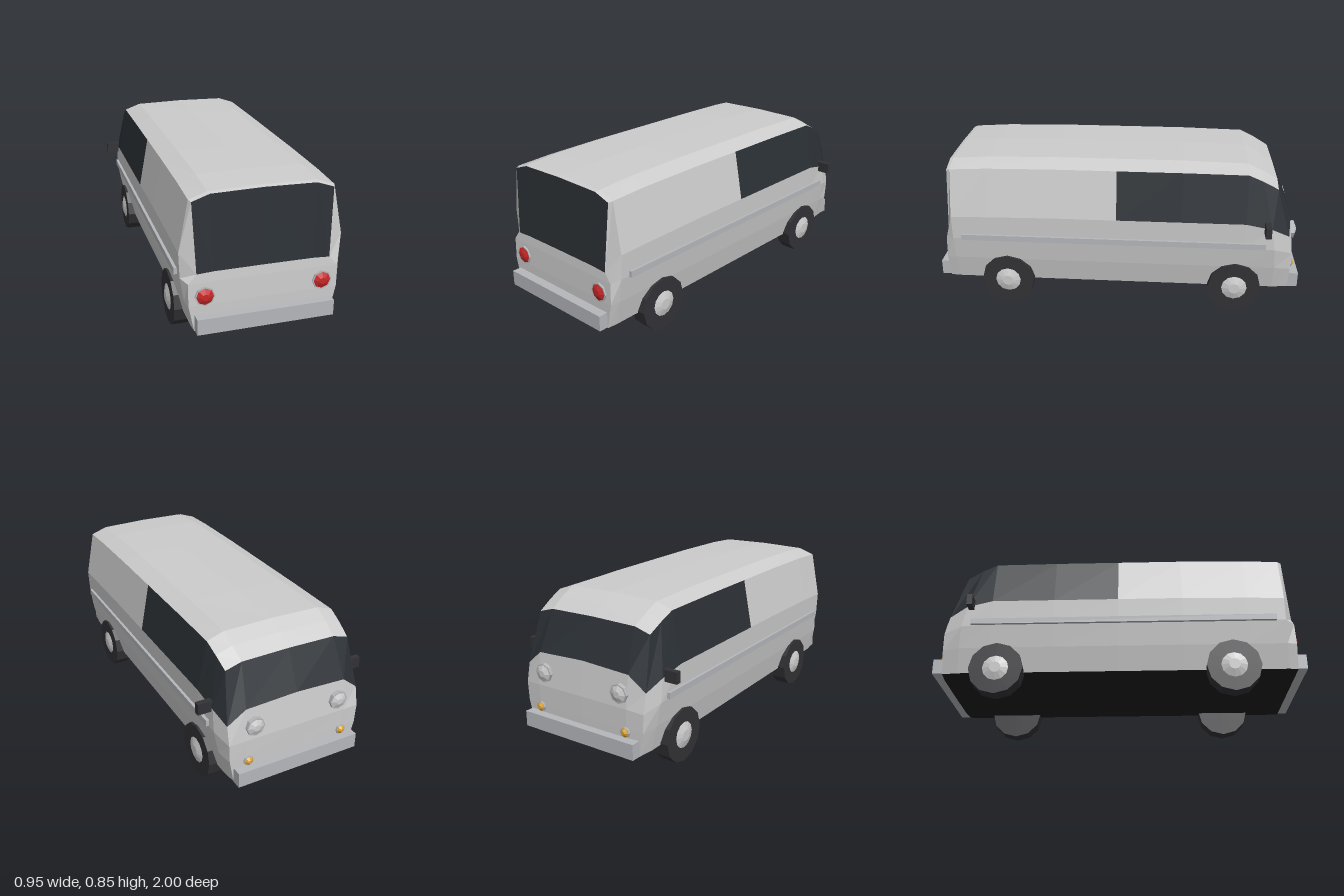
import * as THREE from 'three';

const paint = (color) => new THREE.MeshStandardMaterial({ color, flatShading: true });
const K = [0, 0.85, 1, 0.85, 0]; // crown across the width
const F = [1, 0.75, 0, -0.75, -1]; // column positions across the width

// Each station lists x, y and z at five levels: sill, lower side, crease, belt, roof edge
const X = [0.355, 0.385, 0.405, 0.41, 0.36];
const Y = [0.135, 0.27, 0.4, 0.54, 0.803];
const stations = [
  { x: [0.35, 0.377, 0.377, 0.335, 0.35], y: [0.135, 0.27, 0.385, 0.43, 0.783], z: [0.95, 0.95, 0.946, 0.942, 0.915], rise: 0.036 },
  { x: X, y: [0.135, 0.27, 0.4, 0.53, 0.788], z: [0.9, 0.9, 0.9, 0.9, 0.895], rise: 0.037 },
  { x: X, y: [0.135, 0.27, 0.4, 0.535, 0.798], z: 0.7, rise: 0.04 },
  { x: X, y: Y, z: 0.35, rise: 0.042 },
  { x: X, y: Y, z: 0, rise: 0.042 },
  { x: X, y: Y, z: -0.35, rise: 0.042 },
  { x: X, y: [0.135, 0.27, 0.4, 0.54, 0.8], z: -0.69, rise: 0.037 },
  { x: [0.355, 0.385, 0.405, 0.402, 0.355], y: [0.135, 0.27, 0.39, 0.51, 0.764], z: [-0.86, -0.86, -0.85, -0.83, -0.77], rise: 0.034 },
  { x: [0.345, 0.37, 0.375, 0.375, 0.348], y: [0.135, 0.26, 0.36, 0.46, 0.72], z: [-0.945, -0.948, -0.948, -0.925, -0.85], rise: 0.03 },
];

function levelPoint(s, l, side = 1) {
  return [s.x[l] * side, s.y[l], Array.isArray(s.z) ? s.z[l] : s.z];
}

// Closed section running up the left side, over the roof and down the right
function ring(s) {
  const pts = [0, 1, 2, 3, 4].map((l) => levelPoint(s, l));
  const [x, y, z] = levelPoint(s, 4);
  for (let c = 1; c < 4; c++) pts.push([x * F[c], y + s.rise * K[c], z]);
  for (let l = 4; l >= 0; l--) pts.push(levelPoint(s, l, -1));
  return pts;
}

// Rows of an end panel, bulged toward its middle
function endRows(s, bulgeY, bulgeZ) {
  return s.x.map((_, l) => F.map((f, c) => {
    const [x, y, z] = levelPoint(s, l);
    return [x * f, y + bulgeY[l] * K[c], z + bulgeZ[l] * K[c]];
  }));
}

function makeBody(group) {
  const faces = { bodyShell: [], windows: [], underside: [] };
  const quad = (part, a, b, c, d) => faces[part].push(...a, ...b, ...c, ...a, ...c, ...d);

  // Sides, roof and floor
  const rings = stations.map(ring);
  for (let i = 0; i < rings.length - 1; i++) {
    const p = rings[i], q = rings[i + 1], n = p.length;
    for (let j = 0; j < n; j++) {
      const k = (j + 1) % n;
      const glazed = (j === 3 || j === 8) && i >= 4;
      quad(j === n - 1 ? 'underside' : glazed ? 'windows' : 'bodyShell', p[j], q[j], q[k], p[k]);
    }
  }

  // Rear and front panels, glazed above the belt
  const rear = stations[0], front = stations[stations.length - 1];
  const ends = [
    [endRows(rear, [0, 0, 0, 0.006, rear.rise], [0, 0, 0, 0, 0]), false],
    [endRows(front, [0, 0, 0.01, 0.09, front.rise], [-0.01, -0.01, -0.012, -0.014, 0]), true],
  ];
  for (const [rows, isFront] of ends) {
    for (let l = 0; l < 4; l++) for (let c = 0; c < 4; c++) {
      const a = rows[l][c], b = rows[l + 1][c], d = rows[l + 1][c + 1], e = rows[l][c + 1];
      const part = l === 3 ? 'windows' : 'bodyShell';
      if (isFront) quad(part, a, e, d, b);
      else quad(part, a, b, d, e);
    }
    // Sliver of floor beneath the bulged sill
    for (let c = 1; c < 3 && isFront; c++) quad('underside', rows[0][c + 1], rows[0][c], levelPoint(front, 0), levelPoint(front, 0, -1));
  }

  const colors = { bodyShell: 0xdedee0, windows: 0x2b3035, underside: 0x1c1c1f };
  for (const name in faces) {
    const geo = new THREE.BufferGeometry();
    geo.setAttribute('position', new THREE.Float32BufferAttribute(faces[name], 3));
    geo.computeVertexNormals();
    const mesh = new THREE.Mesh(geo, paint(colors[name]));
    mesh.name = name;
    group.add(mesh);
  }
}

export function createModel() {
  const model = new THREE.Group();
  model.name = 'van';
  makeBody(model);

  const chrome = paint(0xb4b6ba), rubber = paint(0x323236), hubMat = paint(0xc0c0c4);
  const red = paint(0xc82828), amber = paint(0xd8a030), lens = paint(0xcccccc);

  const add = (name, geo, mat, x, y, z, parent = model) => {
    const mesh = new THREE.Mesh(geo, mat);
    mesh.name = name;
    mesh.position.set(x, y, z);
    parent.add(mesh);
    return mesh;
  };
  const box = (name, mat, w, h, d, x, y, z) => add(name, new THREE.BoxGeometry(w, h, d), mat, x, y, z);

  // Round lamp: a faceted rim with a shallow domed lens, facing dir along z
  const lamp = (name, mat, r, x, y, z, dir, sides = 8) => {
    const g = new THREE.Group();
    g.name = name;
    g.position.set(x, y, z);
    g.rotation.x = dir * Math.PI / 2;
    add('rim', new THREE.CylinderGeometry(r, r, 0.022, sides), chrome, 0, -0.011, 0, g);
    add('lens', new THREE.CylinderGeometry(r * 0.35, r * 0.87, 0.012, sides), mat, 0, 0.006, 0, g);
    model.add(g);
  };

  // Bumpers
  box('rearBumper', chrome, 0.695, 0.082, 0.06, 0, 0.179, 0.97);
  box('frontBumper', chrome, 0.695, 0.082, 0.06, 0, 0.179, -0.97);

  for (const side of [1, -1]) {
    const label = side > 0 ? 'left' : 'right';
    // Side trim and mirror
    box(label + 'SideTrim', chrome, 0.025, 0.032, 1.65, side * 0.4085, 0.413, 0.025);
    box(label + 'Mirror', rubber, 0.085, 0.06, 0.03, side * 0.4315, 0.52, -0.803);

    // Lamps
    lamp(label + 'TailLamp', red, 0.05, side * 0.297, 0.315, 0.956, 1);
    lamp(label + 'Headlamp', lens, 0.05, side * 0.24, 0.44, -0.966, -1);
    lamp(label + 'Indicator', amber, 0.027, side * 0.273, 0.25, -0.966, -1);

    // Wheels with domed hubs
    for (const [end, z] of [['Rear', 0.61], ['Front', -0.65]]) {
      const wheel = new THREE.Group();
      wheel.name = label + end + 'Wheel';
      wheel.position.set(side * 0.357, 0.145, z);
      wheel.rotation.z = -side * Math.PI / 2;
      add('tyre', new THREE.CylinderGeometry(0.145, 0.145, 0.086, 12), rubber, 0, 0, 0, wheel).rotation.y = Math.PI / 2;
      add('hub', new THREE.CylinderGeometry(0.03, 0.07, 0.013, 12), hubMat, 0, 0.0495, 0, wheel);
      model.add(wheel);
    }
  }
  return model;
}
